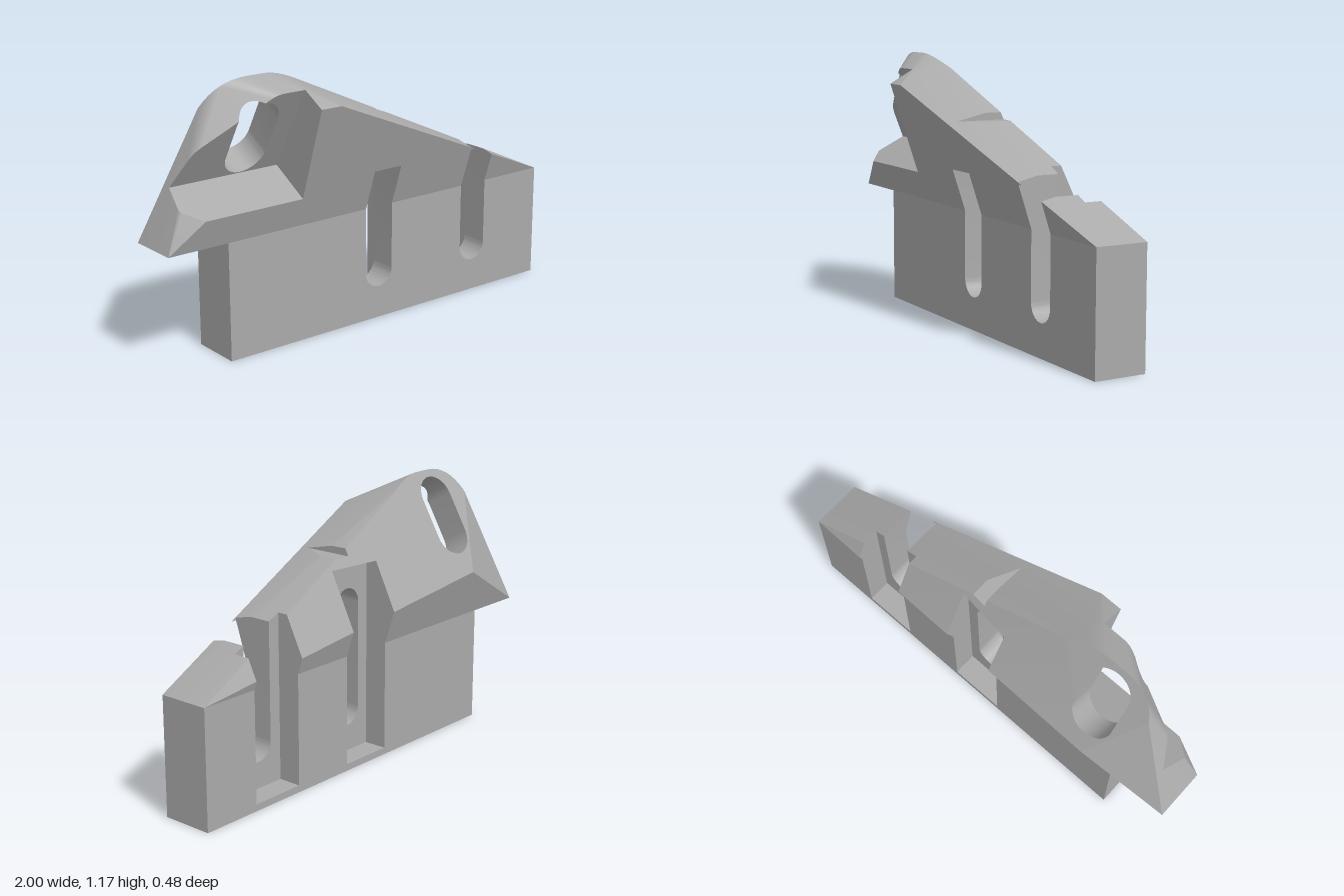
import * as THREE from 'three';
import { toCreasedNormals } from 'three/addons/utils/BufferGeometryUtils.js';
import { ConvexGeometry } from 'three/addons/geometries/ConvexGeometry.js';

const V = (x, y, z) => new THREE.Vector3(x, y, z);
const EPS = 1e-5;

// --- Small solid-subtraction helper (binary space partition) ---
function makePoly(v, plane) {
  if (!plane) {
    const n = v[1].p.clone().sub(v[0].p).cross(v[2].p.clone().sub(v[0].p));
    if (n.length() < 1e-10) return null;
    n.normalize();
    plane = { n, w: n.dot(v[0].p) };
  }
  return { v, plane };
}

const flipPlane = (pl) => ({ n: pl.n.clone().negate(), w: -pl.w });
const flipPoly = (q) => makePoly(
  q.v.map((a) => ({ p: a.p, n: a.n.clone().negate() })).reverse(), flipPlane(q.plane));

function split(plane, poly, coFront, coBack, front, back) {
  const side = poly.v.map((a) => {
    const d = plane.n.dot(a.p) - plane.w;
    return d < -EPS ? 2 : d > EPS ? 1 : 0;
  });
  const type = side.reduce((a, b) => a | b, 0);
  if (type === 0) (plane.n.dot(poly.plane.n) > 0 ? coFront : coBack).push(poly);
  else if (type === 1) front.push(poly);
  else if (type === 2) back.push(poly);
  else {
    const f = [], b = [];
    poly.v.forEach((a, i) => {
      const j = (i + 1) % poly.v.length, c = poly.v[j];
      if (side[i] !== 2) f.push(a);
      if (side[i] !== 1) b.push(a);
      if ((side[i] | side[j]) === 3) {
        const t = (plane.w - plane.n.dot(a.p)) / plane.n.dot(c.p.clone().sub(a.p));
        const m = { p: a.p.clone().lerp(c.p, t), n: a.n.clone().lerp(c.n, t).normalize() };
        f.push(m);
        b.push(m);
      }
    });
    if (f.length > 2) front.push(makePoly(f, poly.plane));
    if (b.length > 2) back.push(makePoly(b, poly.plane));
  }
}

class Tree {
  constructor(polys) {
    this.polys = [];
    if (polys.length) this.build(polys);
  }
  build(polys) {
    if (!polys.length) return;
    if (!this.plane) this.plane = polys[0].plane;
    const f = [], b = [];
    polys.forEach((q) => split(this.plane, q, this.polys, this.polys, f, b));
    if (f.length) (this.front ??= new Tree([])).build(f);
    if (b.length) (this.back ??= new Tree([])).build(b);
  }
  invert() {
    this.polys = this.polys.map(flipPoly);
    this.plane = flipPlane(this.plane);
    this.front?.invert();
    this.back?.invert();
    [this.front, this.back] = [this.back, this.front];
  }
  clip(polys) {
    const f = [], b = [];
    polys.forEach((q) => split(this.plane, q, f, b, f, b));
    return (this.front ? this.front.clip(f) : f).concat(this.back ? this.back.clip(b) : []);
  }
  clipTo(tree) {
    this.polys = tree.clip(this.polys);
    this.front?.clipTo(tree);
    this.back?.clipTo(tree);
  }
  all() {
    return [...this.polys, ...(this.front?.all() ?? []), ...(this.back?.all() ?? [])];
  }
}

function subtract(polysA, polysB) {
  const a = new Tree(polysA), b = new Tree(polysB);
  a.invert();
  a.clipTo(b);
  b.clipTo(a);
  b.invert();
  b.clipTo(a);
  b.invert();
  a.build(b.all());
  a.invert();
  return a.all();
}

function toPolys(geometry, crease = 0.5) {
  const g = toCreasedNormals(geometry, crease);
  const P = g.attributes.position, N = g.attributes.normal, out = [];
  for (let i = 0; i < P.count; i += 3) {
    const q = makePoly([i, i + 1, i + 2].map((k) => ({
      p: V().fromBufferAttribute(P, k), n: V().fromBufferAttribute(N, k) })));
    if (q) out.push(q);
  }
  return out;
}

function toGeometry(polys) {
  const pos = [], nor = [];
  for (const { v } of polys) {
    for (let i = 2; i < v.length; i++) {
      for (const a of [v[0], v[i - 1], v[i]]) {
        pos.push(...a.p.toArray());
        nor.push(...a.n.toArray());
      }
    }
  }
  const g = new THREE.BufferGeometry();
  g.setAttribute('position', new THREE.Float32BufferAttribute(pos, 3));
  g.setAttribute('normal', new THREE.Float32BufferAttribute(nor, 3));
  return g;
}

// --- Solids ---
const box = (x0, x1, y0, y1, z0, z1) => new THREE.BoxGeometry(x1 - x0, y1 - y0, z1 - z0)
  .translate((x0 + x1) / 2, (y0 + y1) / 2, (z0 + z1) / 2);

function roundSlot(cx, y0, y1, r, z0, z1) {
  const s = new THREE.Shape();
  s.absarc(cx, y1 - r, r, 0, Math.PI);
  s.absarc(cx, y0 + r, r, Math.PI, Math.PI * 2);
  s.closePath();
  return new THREE.ExtrudeGeometry(s, { depth: z1 - z0, bevelEnabled: false, curveSegments: 14 })
    .translate(0, 0, z0);
}

// Leaning frame shared by the eye wall, its ledge and its hole
const lean = (g) => g.rotateX(Math.PI / 6).translate(0, 0.745, -0.074);

function headHull() {
  const yb = 0.512, zb = -0.165, zf = 0.065;
  const pts = [V(-1, yb, zb), V(1, yb, zb), V(1, yb, zf), V(-1, yb, zf)];
  pts.push(V(-0.38, 1.04, 0.24), V(-0.28, 1.04, 0.24)); // front brow
  pts.push(V(-0.6, 0.73, -0.237));                      // back ridge peak
  // rounded crest lying in the leaning back plane
  const crest = [
    [[-0.77, 1.05], [-0.721, 1.166], [-0.58, 1.166]],
    [[-0.5, 1.166], [-0.431, 1.166], [-0.3, 1.105]],
  ];
  for (const c of crest) {
    const curve = new THREE.QuadraticBezierCurve(...c.map((p) => new THREE.Vector2(...p)));
    for (const p of curve.getPoints(8)) pts.push(V(p.x, p.y, 0.015 + (p.y - 1.166) * 0.575));
  }
  return new ConvexGeometry(pts);
}

export function createModel() {
  const group = new THREE.Group();
  const grey = new THREE.MeshStandardMaterial({ color: 0xaaaaaa });
  grey.name = 'plain grey';

  // Slots and back channels run through both base and head
  const shared = [
    box(-0.07, 0.18, 0.03, 0.865, -0.6, -0.06),
    box(0.48, 0.73, 0.03, 1.6, -0.6, -0.06),
    roundSlot(0.0575, 0.145, 0.76, 0.0725, -0.5, 0.125),
    roundSlot(0.6075, 0.145, 1.7, 0.0725, -0.5, 0.125),
  ];
  // Eye recess, eye hole and the small crest step only touch the head
  const headOnly = [
    lean(box(-1.6, -0.38, 0, 1, 0, 1)),
    lean(roundSlot(-0.567, 0.005, 0.375, 0.0975, -0.5, 0.05)),
    box(0.07, 0.16, 0.905, 1.2, -0.5, 0.5),
  ];

  const addPart = (name, solid, crease, cutters) => {
    let polys = toPolys(solid, crease);
    for (const c of cutters) polys = subtract(polys, toPolys(c));
    const mesh = new THREE.Mesh(toGeometry(polys), grey);
    mesh.name = name;
    group.add(mesh);
  };

  addPart('base', box(-0.72, 1, 0, 0.512, -0.165, 0.065), 0.3, shared);
  addPart('head', headHull(), 0.3, [...shared, ...headOnly]);
  return group;
}
